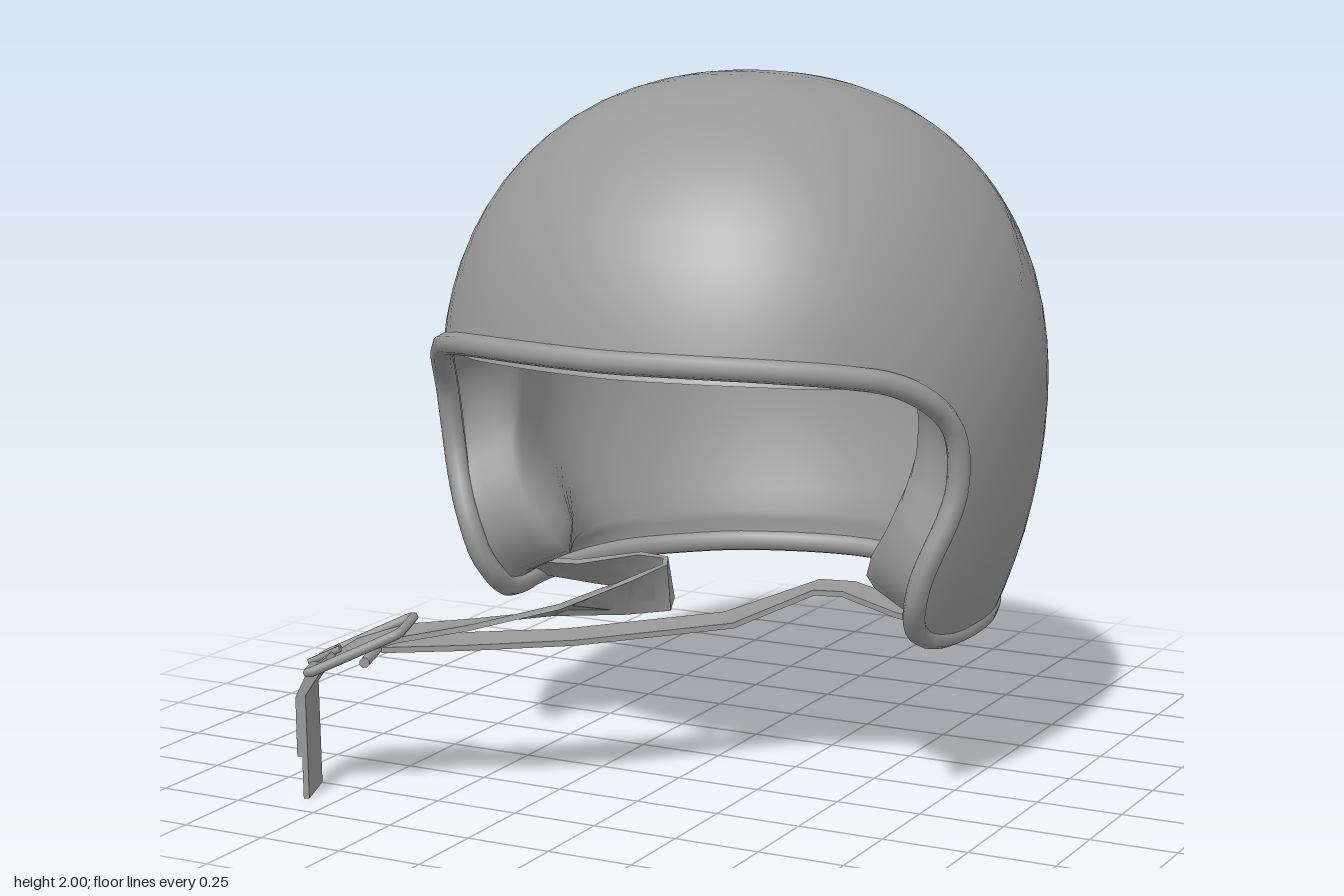
import * as THREE from 'three';
import { mergeVertices, toCreasedNormals } from 'three/addons/utils/BufferGeometryUtils.js';

const V = (x, y, z) => new THREE.Vector3(x, y, z);
const N = 96;
const CX = 0.065, CY = 1.1, CZ = -0.05, RX = 0.845, RZ = 0.87;
const half = (up) => (up ? { b: 0.9, p: 2.2 } : { b: 1.215, p: 2 });

// Horizontal reach: slightly squared round the middle, oval towards the bottom
function girth(x, y, z) {
  const q = 2.18 - 0.36 * Math.max(0, -y);
  return Math.pow(Math.pow(Math.abs(x), q) + Math.pow(Math.abs(z), q), 1 / q);
}

// Point of the egg-shaped helmet surface in unit direction u, scaled by k
function onShell(u, k = 1) {
  const { b, p } = half(u.y > 0);
  const t = k * Math.pow(Math.pow(girth(u.x, u.y, u.z), p) + Math.pow(Math.abs(u.y), p), -1 / p);
  return V(CX + RX * u.x * t, CY + b * u.y * t, CZ + RZ * u.z * t);
}

// Direction of the point at azimuth a (0 = front) and height y
function direction(a, y) {
  const { b, p } = half(y > CY);
  const Y = (y - CY) / b;
  const h = Math.pow(1 - Math.pow(Math.abs(Y), p), 1 / p) / girth(Math.sin(a), Y, Math.cos(a));
  return V(h * Math.sin(a), Y, h * Math.cos(a)).normalize();
}

// Rim of the shell, front centre round one side to back centre, then mirrored
function rimDirections() {
  const side = [
    [0, 1.3], [0.3, 1.3], [0.57, 1.29], [0.78, 1.27], [0.94, 1.24], [1.08, 1.175], [1.17, 1.09],
    [1.2, 0.945], [1.165, 0.82], [1.113, 0.7], [1.115, 0.58], [1.187, 0.495], [1.35, 0.457],
    [1.6, 0.457], [1.9, 0.462], [2.2, 0.465], [2.65, 0.465], [Math.PI, 0.465],
  ];
  const other = side.slice(1, -1).reverse().map(([a, y]) => [-a, y]);
  const pts = [...side, ...other].map(([a, y]) => direction(a, y));
  return new THREE.CatmullRomCurve3(pts, true).getSpacedPoints(N).slice(0, N).map((d) => d.normalize());
}

// Grid of rows running from a pole on the upper back down to the rim
function domeGeometry(rim, rows, place, inward) {
  const pole = V(0, 0.75, -0.66).normalize();
  const pos = [], idx = [];
  rows.forEach((f) => rim.forEach((e) => {
    const w = pole.angleTo(e);
    const u = pole.clone().multiplyScalar(Math.sin((1 - f) * w)).addScaledVector(e, Math.sin(f * w)).normalize();
    pos.push(...place(u, f).toArray());
  }));
  for (let i = 0; i < rows.length - 1; i++) {
    for (let j = 0; j < N; j++) {
      const j2 = (j + 1) % N;
      const a = i * N + j, b = a + N, c = (i + 1) * N + j2, d = i * N + j2;
      if (i > 0) idx.push(...(inward ? [a, d, c] : [a, c, d]));
      idx.push(...(inward ? [a, c, b] : [a, b, c]));
    }
  }
  let g = new THREE.BufferGeometry();
  g.setAttribute('position', new THREE.Float32BufferAttribute(pos, 3));
  g.setIndex(idx);
  g = mergeVertices(g, 1e-4);
  g.computeVertexNormals();
  return g;
}

// Flat strap through stations [x, y, z, half-width vector x, y, z]
function strapGeometry(stations, thick = 0.008) {
  const mid = new THREE.CatmullRomCurve3(stations.map((s) => V(s[0], s[1], s[2])));
  const steps = stations.length - 1;
  const pos = [], idx = [];
  stations.forEach((s, i) => {
    const p = V(s[0], s[1], s[2]), w = V(s[3], s[4], s[5]);
    const n = mid.getTangent(i / steps).cross(w).normalize().multiplyScalar(thick);
    [[1, 1], [-1, 1], [-1, -1], [1, -1]].forEach(([a, b]) =>
      pos.push(...p.clone().addScaledVector(w, a).addScaledVector(n, b).toArray()));
  });
  for (let i = 0; i < steps; i++) {
    for (let j = 0; j < 4; j++) {
      const a = i * 4 + j, b = i * 4 + (j + 1) % 4;
      idx.push(a, a + 4, b, b, a + 4, b + 4);
    }
  }
  const e = steps * 4;
  idx.push(0, 1, 2, 0, 2, 3, e, e + 2, e + 1, e, e + 3, e + 2);
  const g = new THREE.BufferGeometry();
  g.setAttribute('position', new THREE.Float32BufferAttribute(pos, 3));
  g.setIndex(idx);
  return toCreasedNormals(g, 0.7);
}

export function createModel() {
  const model = new THREE.Group();
  model.name = 'openFaceHelmet';
  const grey = new THREE.MeshStandardMaterial({ color: 0x999999, side: THREE.DoubleSide });
  grey.name = 'grey';
  const add = (name, geometry, parent = model) => {
    const m = new THREE.Mesh(geometry, grey);
    m.name = name;
    parent.add(m);
    return m;
  };

  // Outer shell
  const rim = rimDirections();
  const rows = Array.from({ length: 21 }, (_, i) => i / 20);
  add('shell', domeGeometry(rim, rows, (u) => onShell(u), false));

  // Rolled trim along the whole rim: proud at the sides, tighter along the bottom
  const { smoothstep } = THREE.MathUtils;
  const rimCurve = new THREE.CatmullRomCurve3(rim.map((u) => onShell(u,
    0.978 + 0.014 * smoothstep(u.y, -0.5, -0.4) + 0.013 * smoothstep(u.y, -0.4, -0.1) * smoothstep(Math.abs(u.x), 0.6, 0.9))), true);
  add('rimTrim', new THREE.TubeGeometry(rimCurve, 160, 0.032, 8, true));

  // Padded liner, swelling into cheek pads at both sides
  const bump = (d, width) => Math.exp(-((d / width) ** 2));
  const linerRows = [...rows.slice(0, -1), 0.965, 0.98, 0.99, 1];
  add('liner', domeGeometry(rim, linerRows, (u, f) => {
    const ramp = smoothstep(1 - f, 0, 0.06);
    const front = smoothstep(u.z, 0.45, 0.8) * smoothstep(f, 0.85, 1);
    const p = onShell(u, 0.965 - 0.035 * ramp);
    const swell = (0.125 * bump(p.y - 1.05, 0.4) + 0.17 * bump(p.y - 0.62, 0.2)) * bump(p.z - 0.14, 0.3);
    p.x -= Math.sign(p.x - CX) * ramp * swell * Math.min(1, Math.abs(p.x - CX) / 0.4);
    p.y -= 0.045 * front * Math.max(0, u.y) / 0.22;
    return p;
  }, true));

  // Strap from the far cheek that doubles back and runs out through the buckle
  add('buckleStrap', strapGeometry([
    [-0.64, 0.5, -0.02, 0, 0.03, 0.05],
    [-0.42, 0.515, 0.03, 0, 0.04, 0.05],
    [-0.2, 0.55, 0.08, 0, 0.06, 0.03],
    [-0.1, 0.55, 0.12, 0, 0.065, 0.02],
    [-0.07, 0.54, 0.19, 0, 0.07, 0.01],
    [-0.13, 0.535, 0.32, 0.02, 0.055, 0.02],
    [-0.27, 0.515, 0.48, 0.04, 0.025, 0.05],
    [-0.45, 0.49, 0.65, 0.035, 0.01, 0.07],
    [-0.62, 0.465, 0.735, 0.028, 0, 0.075],
    [-0.75, 0.42, 0.785, 0.028, 0, 0.075],
    [-0.83, 0.365, 0.815, 0.028, 0, 0.075],
    [-0.872, 0.3, 0.825, 0.028, 0, 0.075],
    [-0.867, 0, 0.825, 0.028, 0, 0.075],
  ]));

  // Doubled layer of strap just outside the buckle
  add('strapFold', strapGeometry([
    [-0.8, 0.405, 0.805, 0.028, 0, 0.075],
    [-0.855, 0.355, 0.82, 0.028, 0, 0.075],
    [-0.886, 0.29, 0.827, 0.028, 0, 0.075],
    [-0.884, 0.12, 0.827, 0.028, 0, 0.075],
  ]));

  // Strap from the near cheek, running beneath to the buckle
  add('cheekStrap', strapGeometry([
    [0.74, 0.475, -0.04, 0, 0, 0.065],
    [0.58, 0.5, -0.02, 0, 0, 0.065],
    [0.42, 0.55, 0.01, 0.01, 0, 0.065],
    [0.33, 0.55, 0.03, 0.02, 0, 0.065],
    [0.1, 0.45, 0.13, 0.04, 0, 0.055],
    [-0.22, 0.445, 0.49, 0.045, 0, 0.05],
    [-0.45, 0.445, 0.66, 0.035, 0, 0.065],
    [-0.66, 0.435, 0.75, 0.028, 0, 0.07],
  ]));

  // Tilted buckle: rounded frame, cross bar and prong
  const buckle = new THREE.Group();
  buckle.name = 'buckle';
  const along = V(0.29, 0.145, -0.1).normalize();
  const up = V(0.35, 0, 0.94).cross(along).normalize();
  const across = along.clone().cross(up);
  buckle.applyMatrix4(new THREE.Matrix4().makeBasis(along, up, across).setPosition(-0.72, 0.418, 0.778));
  model.add(buckle);
  const frame = [[1, 0.8], [0.87, 1], [-0.87, 1], [-1, 0.8], [-1, -0.8], [-0.87, -1], [0.87, -1], [1, -0.8]];
  const frameCurve = new THREE.CatmullRomCurve3(
    frame.map(([x, z]) => V(x * 0.148, 0.014, z * 0.1)), true, 'catmullrom', 0.1);
  add('buckleFrame', new THREE.TubeGeometry(frameCurve, 64, 0.014, 6, true), buckle);
  const bar = add('buckleBar', new THREE.CylinderGeometry(0.015, 0.015, 0.2, 8), buckle);
  bar.rotation.x = Math.PI / 2;
  bar.position.set(0.02, -0.022, 0);
  const prong = add('buckleProng', new THREE.CylinderGeometry(0.01, 0.01, 0.1, 6), buckle);
  prong.rotation.z = Math.PI / 2;
  prong.position.set(-0.11, 0.028, 0);

  return model;
}
